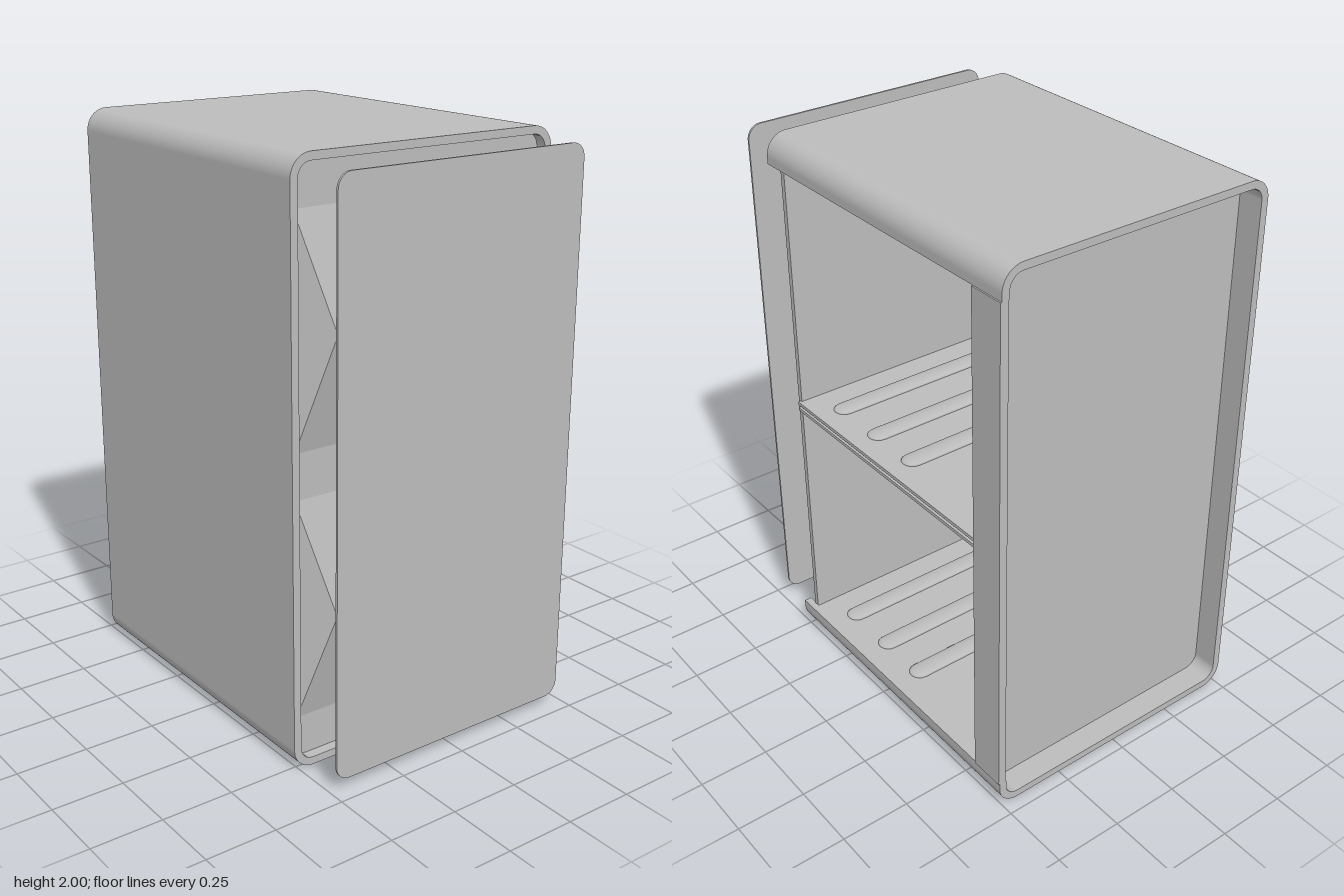
import * as THREE from 'three';

const LEFT = -0.518, RIGHT = 0.508;

// Rounded rectangle outline, counter-clockwise
function roundedRect(x0, y0, x1, y1, r) {
  const s = new THREE.Shape();
  s.moveTo(x0 + r, y0);
  s.lineTo(x1 - r, y0);
  s.absarc(x1 - r, y0 + r, r, -Math.PI / 2, 0);
  s.lineTo(x1, y1 - r);
  s.absarc(x1 - r, y1 - r, r, 0, Math.PI / 2);
  s.lineTo(x0 + r, y1);
  s.absarc(x0 + r, y1 - r, r, Math.PI / 2, Math.PI);
  s.lineTo(x0, y0 + r);
  s.absarc(x0 + r, y0 + r, r, Math.PI, Math.PI * 1.5);
  return s;
}

// Wrap-around wall outline, open on the +x side between y0 and y1
function wrapOutline(t, r, y0, y1) {
  const s = new THREE.Shape(), q = Math.PI / 2, ri = r - t;
  s.moveTo(RIGHT, y1);
  s.lineTo(RIGHT, 2 - r);
  s.absarc(RIGHT - r, 2 - r, r, 0, q);
  s.absarc(LEFT + r, 2 - r, r, q, 2 * q);
  s.absarc(LEFT + r, r, r, 2 * q, 3 * q);
  s.absarc(RIGHT - r, r, r, 3 * q, 4 * q);
  s.lineTo(RIGHT, y0);
  s.lineTo(RIGHT - t, y0);
  s.absarc(RIGHT - r, r, ri, 4 * q, 3 * q, true);
  s.absarc(LEFT + r, r, ri, 3 * q, 2 * q, true);
  s.absarc(LEFT + r, 2 - r, ri, 2 * q, q, true);
  s.absarc(RIGHT - r, 2 - r, ri, q, 0, true);
  s.lineTo(RIGHT - t, y1);
  return s;
}

function extrude(shape, z0, z1) {
  const g = new THREE.ExtrudeGeometry(shape, { depth: z1 - z0, bevelEnabled: false, curveSegments: 10 });
  return g.translate(0, 0, z0);
}

function box(x0, x1, y0, y1, z0, z1) {
  return new THREE.BoxGeometry(x1 - x0, y1 - y0, z1 - z0)
    .translate((x0 + x1) / 2, (y0 + y1) / 2, (z0 + z1) / 2);
}

// Shallow four-sided pyramid with an off-centre apex, pointing to +z
function foldedPanel(x0, x1, y0, y1, z, apex) {
  const c = [[x0, y0, z], [x1, y0, z], [x1, y1, z], [x0, y1, z]];
  const p = [];
  for (let i = 0; i < 4; i++) p.push(...c[i], ...c[(i + 1) % 4], ...apex);
  const g = new THREE.BufferGeometry();
  g.setAttribute('position', new THREE.Float32BufferAttribute(p, 3));
  g.computeVertexNormals();
  return g;
}

export function createModel() {
  const group = new THREE.Group();
  group.name = 'cabinet';
  const grey = new THREE.MeshStandardMaterial({ color: 0xbcbcbc });
  grey.name = 'grey';

  const add = (name, geometry) => {
    const m = new THREE.Mesh(geometry, grey);
    m.name = name;
    group.add(m);
    return m;
  };

  // Outer casing, open on one side
  add('casing', extrude(wrapOutline(0.027, 0.075, 0.1, 1.9), -0.7, 0.52));
  add('rearSideStrip', box(0.484, 0.513, 0.1, 1.9, -0.7, -0.57));
  add('backPanel', extrude(roundedRect(-0.492, 0.026, 0.484, 1.974, 0.05), -0.61, -0.57));

  // Floor and ceiling linings
  add('floorLining', box(-0.492, 0.482, 0.03, 0.098, -0.57, 0.465));
  add('ceilingLining', box(-0.492, 0.482, 1.902, 1.97, -0.57, 0.465));

  // Middle shelf made of two thin sheets around a core
  add('shelfLower', box(-0.492, 0.495, 0.985, 0.997, -0.57, 0.47));
  add('shelfCore', box(-0.492, 0.485, 0.997, 1.008, -0.57, 0.465));
  add('shelfUpper', box(-0.492, 0.495, 1.008, 1.02, -0.57, 0.47));

  // Raised ribs on the floor, shelf and ceiling
  for (const y of [0.098, 0.985, 1.02, 1.902]) {
    for (const z of [0.33, 0.12, -0.08, -0.51]) {
      const rib = add('rib', new THREE.CapsuleGeometry(0.04, 0.76, 4, 12)
        .rotateZ(Math.PI / 2).scale(1, 0.27, 1));
      rib.position.set(0.01, y, z);
    }
  }

  // Inner front wall with two folded panels
  add('innerFront', extrude(roundedRect(-0.492, 0.026, 0.484, 1.974, 0.05), 0.463, 0.483));
  for (const [y0, y1, ya] of [[0.16, 0.93, 0.54], [1.07, 1.84, 1.46]]) {
    add('foldedPanel', foldedPanel(-0.485, 0.48, y0, y1, 0.481, [-0.39, ya, 0.578]));
  }

  // Detached front door sheet
  add('frontDoor', extrude(roundedRect(-0.482, 0.038, 0.476, 1.968, 0.05), 0.692, 0.7));

  return group;
}
